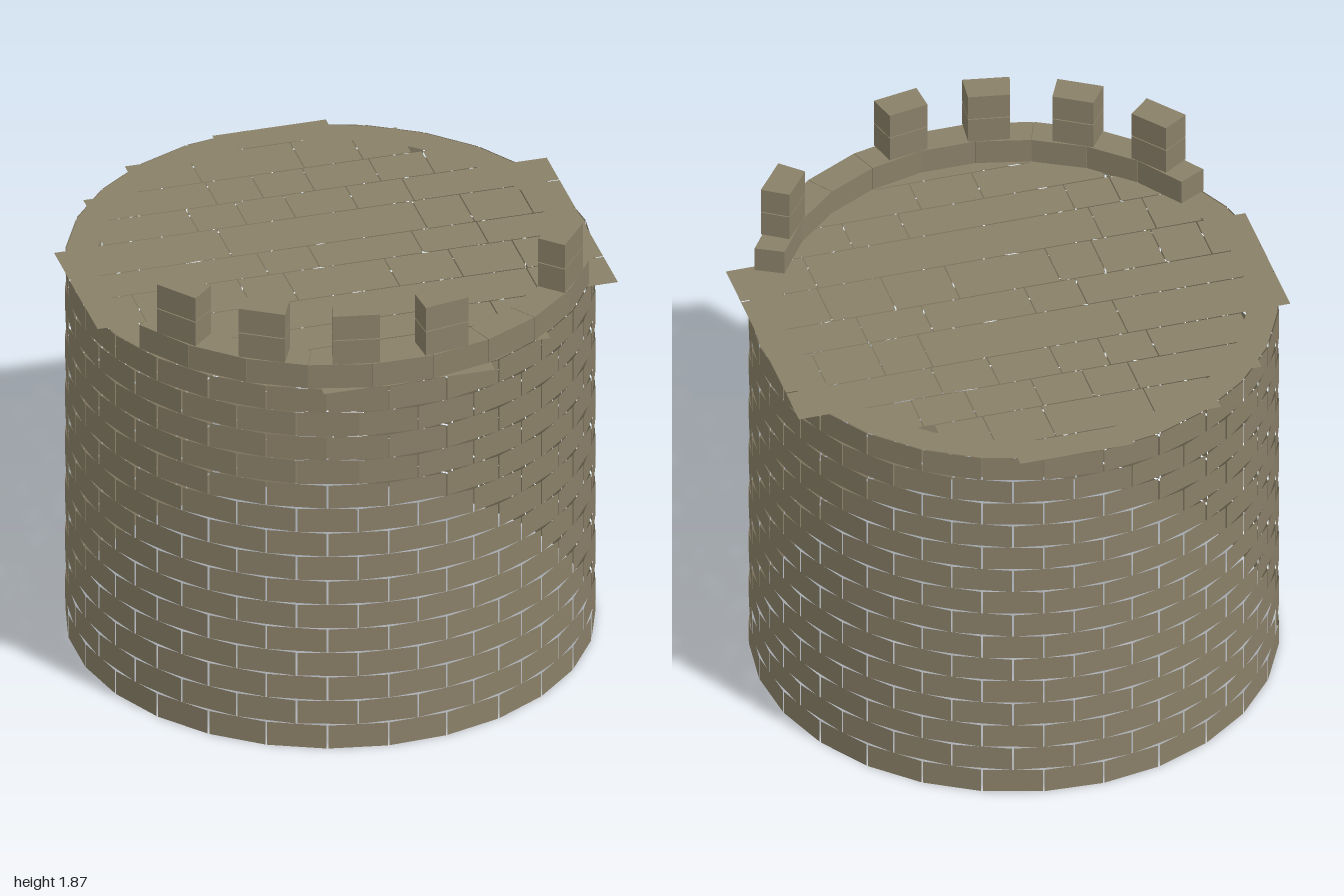
import * as THREE from 'three';
import { mergeGeometries } from 'three/addons/utils/BufferGeometryUtils.js';

const stone = new THREE.MeshStandardMaterial({ color: 0x8a8068, side: THREE.DoubleSide });
stone.name = 'stone';

const DEG = Math.PI / 180;

// Wedge-shaped block of a ring; angles are measured from +z towards +x
function wedge(a0, a1, inner, outer, y, height) {
  const corner = (r, a) => new THREE.Vector2(r * Math.sin(a), -r * Math.cos(a));
  const shape = new THREE.Shape([corner(outer, a0), corner(outer, a1), corner(inner, a1), corner(inner, a0)]);
  return new THREE.ExtrudeGeometry(shape, { depth: height, bevelEnabled: false })
    .rotateX(-Math.PI / 2).translate(0, y, 0);
}

function part(name, geometries) {
  const mesh = new THREE.Mesh(mergeGeometries(geometries), stone);
  mesh.name = name;
  return mesh;
}

// Thin flat bricks in staggered courses, with open joints
function wall() {
  const courses = 15, count = 27, pitch = 0.1043, radius = 0.993;
  const step = 2 * Math.PI / count;
  const width = 2 * radius * Math.tan(step / 2) - 0.007;
  const bricks = [];
  for (let c = 0; c < courses; c++) {
    for (let i = 0; i < count; i++) {
      const angle = Math.PI / 2 - (i + (c % 2 ? 0 : 0.5)) * step;
      bricks.push(new THREE.PlaneGeometry(width, 0.0995)
        .translate(0, c * pitch + 0.04975, radius).rotateY(angle));
    }
  }
  return part('wallBricks', bricks);
}

// Rows of floor slabs: [z start, z end, x edges of the slabs]
function floor() {
  const rows = [
    [-0.995, -0.865, [-0.18, 0.27]],
    [-0.865, -0.665, [-0.56, -0.31, 0.09, 0.32, 0.51]],
    [-0.665, -0.49, [-0.78, -0.3, -0.12, 0.08, 0.34, 0.55, 0.74]],
    [-0.49, -0.315, [-0.8, -0.425, -0.235, -0.045, 0.2, 0.42, 0.99]],
    [-0.315, -0.1, [-0.995, -0.355, 0.41, 0.595, 0.825, 0.99]],
    [-0.1, 0.07, [-0.995, -0.26, -0.06, 0.345, 0.6, 0.99]],
    [0.07, 0.285, [-0.995, -0.8, -0.62, -0.385, -0.205, 0.19, 0.44, 0.69, 0.99]],
    [0.285, 0.487, [-0.825, -0.645, -0.435, 0.685, 0.99]],
    [0.487, 0.65, [-0.74, -0.565, -0.385, 0.265, 0.485, 0.74]],
    [0.65, 0.82, [-0.55, -0.075, 0.17, 0.63]],
    [0.82, 0.99, [-0.31, 0.365]],
  ];
  const gap = 0.005, slabs = [];
  for (const [z0, z1, xs] of rows) {
    for (let i = 0; i + 1 < xs.length; i++) {
      slabs.push(new THREE.PlaneGeometry(xs[i + 1] - xs[i] - gap, z1 - z0 - gap)
        .rotateX(-Math.PI / 2)
        .translate((xs[i] + xs[i + 1]) / 2, 1.562, (z0 + z1) / 2));
    }
  }
  return part('floorSlabs', slabs);
}

// Nine blocks along the front edge
function parapet() {
  const step = 360 / 26 * DEG, blocks = [];
  for (let i = -4; i <= 4; i++) {
    blocks.push(wedge((i - 0.5) * step + 0.001, (i + 0.5) * step - 0.001, 0.88, 0.995, 1.562, 0.101));
  }
  return part('parapetBlocks', blocks);
}

// Two-block battlements, with one missing on the left
function battlements() {
  const unit = 360 / 26 * 0.75 * DEG, blocks = [];
  for (const k of [-5, -3, -1, 1, 5]) {
    for (const y of [1.666, 1.772]) {
      blocks.push(wedge((k - 0.5) * unit, (k + 0.5) * unit, 0.88, 0.993, y, 0.102));
    }
  }
  return part('battlements', blocks);
}

export function createModel() {
  const model = new THREE.Group();
  model.name = 'ruinedRoundTower';
  // Flat rim capping the wall
  const rim = part('wallRim', [new THREE.RingGeometry(0.88, 0.995, 27).rotateX(-Math.PI / 2).translate(0, 1.56, 0)]);
  model.add(wall(), rim, floor(), parapet(), battlements());
  return model;
}
